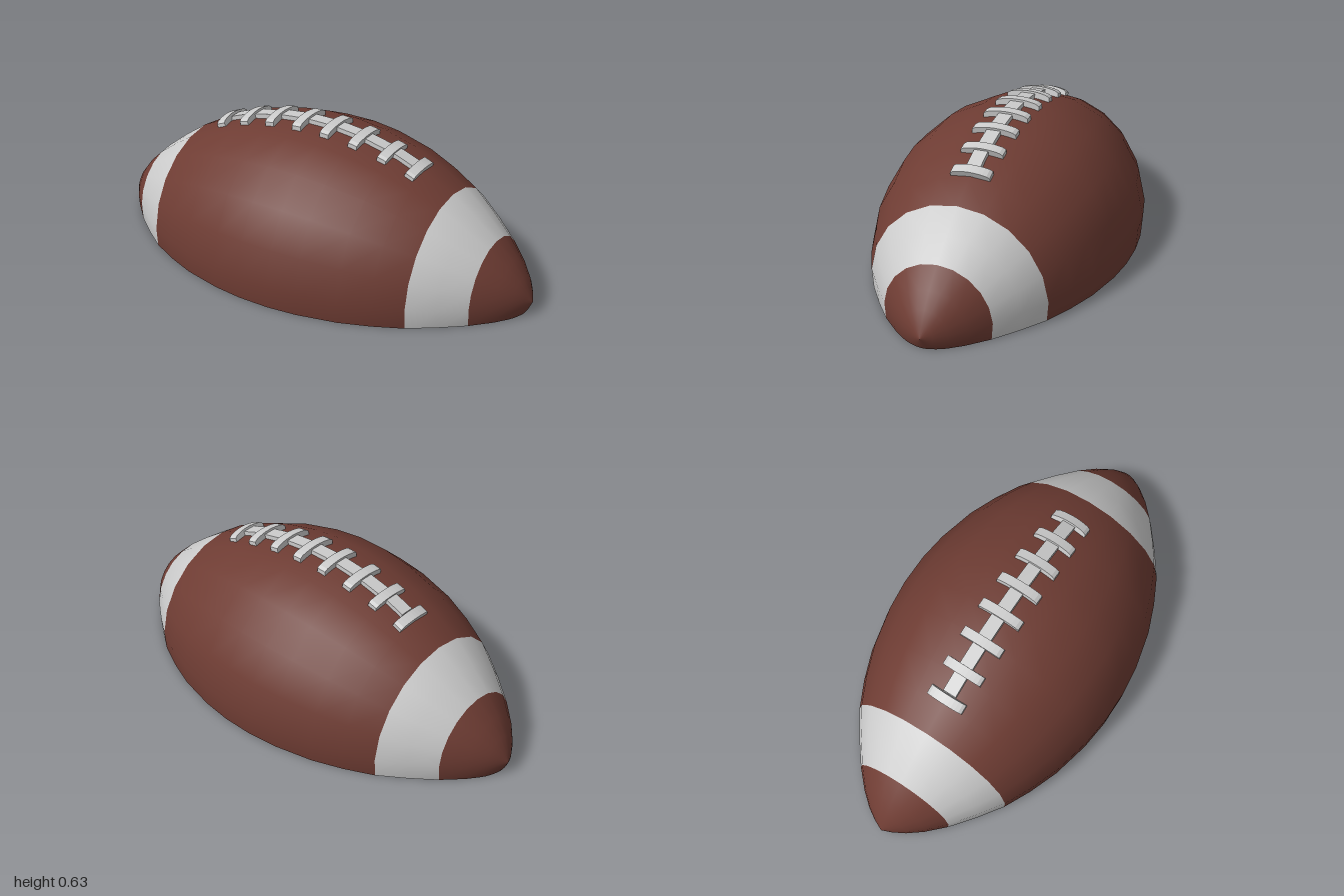
import * as THREE from 'three';

const AXIS_Y = 0.055; // height of the long axis; everything under y = 0 is cut away
const SIDES = 21;

// Half profile: [distance along the ball, radius]
const HALF = [[0.07, 0.545], [0.2, 0.53], [0.37, 0.49], [0.5, 0.44], [0.62, 0.381],
  [0.725, 0.307], [0.825, 0.228], [0.9, 0.156], [0.95, 0.095], [0.98, 0.045], [1, 0]];
const PROFILE = [...HALF.map(([x, r]) => [-x, r]).reverse(), ...HALF];

const leather = new THREE.MeshStandardMaterial({ color: 0x6e3c33, side: THREE.DoubleSide });
const white = new THREE.MeshStandardMaterial({ color: 0xcccccc, side: THREE.DoubleSide });

// Height of the ball's top ridge at x
function ridge(x) {
  let i = 1;
  while (i < PROFILE.length - 1 && PROFILE[i][0] < x) i++;
  const [x0, r0] = PROFILE[i - 1], [x1, r1] = PROFILE[i];
  return AXIS_Y + r0 + (r1 - r0) * (x - x0) / (x1 - x0);
}

// Keeps the triangles of a lathe between two x limits and clips them at y = 0
function shellPart(lathe, from, to) {
  const pos = lathe.attributes.position, nor = lathe.attributes.normal, index = lathe.index;
  const outPos = [], outNor = [];
  for (let t = 0; t < index.count; t += 3) {
    const tri = [0, 1, 2].map((k) => {
      const i = index.getX(t + k);
      return { p: new THREE.Vector3().fromBufferAttribute(pos, i), n: new THREE.Vector3().fromBufferAttribute(nor, i) };
    });
    const midX = (tri[0].p.x + tri[1].p.x + tri[2].p.x) / 3;
    if (midX < from || midX > to) continue;
    const poly = [];
    tri.forEach((a, k) => {
      const b = tri[(k + 1) % 3];
      if (a.p.y >= 0) poly.push(a);
      if ((a.p.y >= 0) !== (b.p.y >= 0)) {
        const s = a.p.y / (a.p.y - b.p.y);
        poly.push({ p: a.p.clone().lerp(b.p, s), n: a.n.clone().lerp(b.n, s).normalize() });
      }
    });
    for (let k = 1; k < poly.length - 1; k++) {
      for (const v of [poly[0], poly[k], poly[k + 1]]) {
        outPos.push(v.p.x, v.p.y, v.p.z);
        outNor.push(v.n.x, v.n.y, v.n.z);
      }
    }
  }
  const geo = new THREE.BufferGeometry();
  geo.setAttribute('position', new THREE.Float32BufferAttribute(outPos, 3));
  geo.setAttribute('normal', new THREE.Float32BufferAttribute(outNor, 3));
  return geo;
}

// Arched cross lace, wide along z
function crossLace(halfWidth) {
  const w = halfWidth;
  const shape = new THREE.Shape();
  shape.moveTo(-w, -0.016);
  shape.lineTo(-w, 0.004);
  shape.lineTo(-w * 0.85, 0.013);
  shape.quadraticCurveTo(0, 0.035, w * 0.85, 0.013);
  shape.lineTo(w, 0.004);
  shape.lineTo(w, -0.016);
  shape.quadraticCurveTo(0, 0.01, -w, -0.016);
  const geo = new THREE.ExtrudeGeometry(shape, { depth: 0.042, bevelEnabled: false, curveSegments: 8 });
  geo.translate(0, 0, -0.021);
  geo.rotateY(Math.PI / 2);
  return geo;
}

export function createModel() {
  const model = new THREE.Group();
  const add = (name, geometry, material, parent = model) => {
    const mesh = new THREE.Mesh(geometry, material);
    mesh.name = name;
    parent.add(mesh);
    return mesh;
  };

  // Hollow ball with a corner of the cross-section on top
  const lathe = new THREE.LatheGeometry(PROFILE.map(([x, r]) => new THREE.Vector2(r, x)), SIDES);
  lathe.rotateX(-Math.PI / 2);
  lathe.rotateY(-Math.PI / 2);
  lathe.translate(0, AXIS_Y, 0);
  add('body', shellPart(lathe, -0.62, 0.62), leather);
  add('leftStripe', shellPart(lathe, 0.62, 0.825), white);
  add('rightStripe', shellPart(lathe, -0.825, -0.62), white);
  add('leftTip', shellPart(lathe, 0.825, 1), leather);
  add('rightTip', shellPart(lathe, -1, -0.825), leather);

  // Lacing: one long strip along the ridge and eight cross laces
  const lacing = new THREE.Group();
  lacing.name = 'lacing';
  model.add(lacing);

  const xs = [-0.45, -0.37, -0.2, -0.07, 0.07, 0.2, 0.37, 0.45];
  const strip = new THREE.Shape([
    ...xs.map((x) => new THREE.Vector2(x, ridge(x) + 0.015)),
    ...xs.slice().reverse().map((x) => new THREE.Vector2(x, ridge(x) - 0.012)),
  ]);
  const stripGeo = new THREE.ExtrudeGeometry(strip, { depth: 0.06, bevelEnabled: false });
  stripGeo.translate(0, 0, -0.03);
  add('longLace', stripGeo, white, lacing);

  [-0.47, -0.343, -0.208, -0.071, 0.066, 0.201, 0.336, 0.463].forEach((x) => {
    const lace = add('crossLace', crossLace(0.098 - 0.065 * x * x), white, lacing);
    lace.position.set(x, ridge(x), 0);
    lace.rotation.z = Math.atan2(ridge(x + 0.06) - ridge(x - 0.06), 0.12);
  });
  return model;
}
